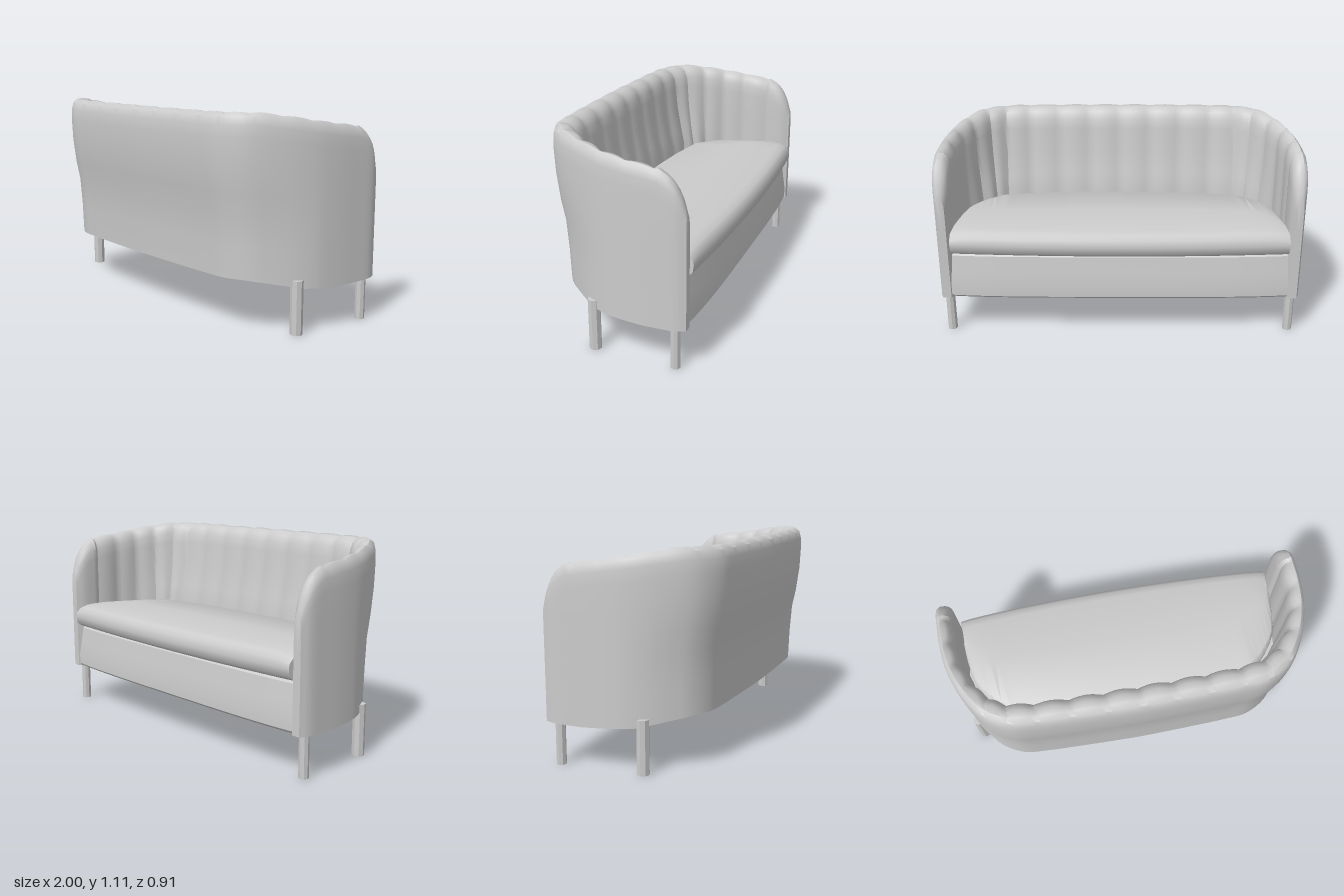
import * as THREE from 'three';
import { toCreasedNormals } from 'three/addons/utils/BufferGeometryUtils.js';

const material = new THREE.MeshStandardMaterial({ color: 0xcccccc });

// Piecewise linear lookup in [input, output] pairs with rising input
function lookup(table, v) {
  if (v <= table[0][0]) return table[0][1];
  for (let i = 1; i < table.length; i++) {
    const [a, fa] = table[i - 1], [b, fb] = table[i];
    if (v <= b) return fa + (fb - fa) * (v - a) / (b - a);
  }
  return table[table.length - 1][1];
}

// Skin a row of equal-sized closed rings and cap both ends
function loft(name, rings, crease) {
  const n = rings[0].length, pos = rings.flat(2), index = [];
  for (let i = 0; i < rings.length - 1; i++) {
    for (let j = 0; j < n; j++) {
      const k = (j + 1) % n, a = i * n, b = a + n;
      index.push(a + j, b + j, a + k, b + j, b + k, a + k);
    }
  }
  [0, rings.length - 1].forEach((r, end) => {
    const c = pos.length / 3;
    for (let d = 0; d < 3; d++) pos.push(rings[r].reduce((s, p) => s + p[d], 0) / n);
    for (let j = 0; j < n; j++) {
      const p = r * n + j, q = r * n + (j + 1) % n;
      index.push(c, end ? q : p, end ? p : q);
    }
  });
  const g = new THREE.BufferGeometry();
  g.setAttribute('position', new THREE.Float32BufferAttribute(pos, 3));
  g.setIndex(index);
  const mesh = new THREE.Mesh(toCreasedNormals(g, crease), material);
  mesh.name = name;
  return mesh;
}

// Underside and rim heights along z, and how far the lower back is drawn in
const underside = [[-0.42, 0.225], [-0.2, 0.222], [0.1, 0.235], [0.385, 0.28]];
const rim = [[-0.41, 0.82], [-0.385, 0.9], [-0.355, 0.96], [-0.32, 1.0], [-0.27, 1.03],
  [0, 1.068], [0.15, 1.092], [0.32, 1.115], [0.46, 1.112]];
const tuckIn = [[0.28, 0.07], [0.58, 0.058], [0.7, 0.03], [0.85, 0.008], [1, 0]];

// Wrapped back and arms: plan [x, z] at each channel seam, middle to arm tip
const outerPlan = [[0, 0.455], [0.18, 0.452], [0.36, 0.447], [0.54, 0.44], [0.68, 0.425], [0.81, 0.35],
  [0.91, 0.2], [0.97, 0.04], [0.993, -0.1], [1, -0.25], [0.998, -0.36], [0.98, -0.41]];
const innerPlan = [[0, 0.31], [0.18, 0.31], [0.36, 0.307], [0.54, 0.3], [0.68, 0.28], [0.76, 0.23],
  [0.83, 0.14], [0.88, 0.03], [0.905, -0.1], [0.91, -0.25], [0.915, -0.36], [0.935, -0.41]];

function mirroredCurve(half) {
  const pts = [...half.slice(1).reverse().map(([x, z]) => [-x, z]), ...half];
  return new THREE.CatmullRomCurve3(pts.map(([x, z]) => new THREE.Vector3(x, 0, z)));
}

// Shell section: t runs outer 0 to inner 1, h is a share of the height
const shellProfile = [[0, 0], [0, 0.2], [0, 0.4], [0, 0.53], [0, 0.7], [0, 0.85], [0.02, 0.925],
  [0.1, 0.975], [0.3, 1], [0.6, 0.995], [0.83, 0.97], [0.97, 0.92], [1.02, 0.85],
  [1.1, 0.7], [1.28, 0.52], [1.42, 0.4], [1.42, 0]];

function makeShell() {
  const outer = mirroredCurve(outerPlan), inner = mirroredCurve(innerPlan);
  const channels = outerPlan.length * 2 - 2, sub = 6, rings = [];
  for (let i = 0; i <= channels * sub; i++) {
    const o = outer.getPoint(i / (channels * sub)), n = inner.getPoint(i / (channels * sub));
    // Groove deepest at each seam, none on the plain arm tips
    const seam = Math.min(i, channels * sub - i) < 2 * sub ? 0 : 1 - Math.sin(Math.PI * (i % sub) / sub);
    const width = Math.hypot(o.x - n.x, o.z - n.z);
    const back = THREE.MathUtils.clamp(o.z / 0.3, 0, 1);
    const low = lookup(underside, Math.min(o.z, 0.385)), high = lookup(rim, o.z);
    rings.push(shellProfile.map(([t, h]) => {
      const y = low + h * (high - low);
      let s = t > 1 ? 1 + (t - 1) * back : t;
      if (t > 0.5) s -= 0.014 * seam / width;
      const tuck = t < 0.5 ? lookup(tuckIn, y) * back : 0;
      const dip = t > 0.2 && h > 0.9 ? 0.006 * seam : 0;
      return [o.x + (n.x - o.x) * s, y - dip, o.z + (n.z - o.z) * s - tuck];
    }));
  }
  return loft('backAndArms', rings, 0.75);
}

// Seat base: sections across x, rear edge buried in the shell
function makeBase() {
  const rear = [[0, 0.34], [0.6, 0.33], [0.72, 0.28], [0.86, 0.13], [0.92, -0.02], [0.95, -0.3]];
  const rings = [];
  for (let i = -16; i <= 16; i++) {
    const x = 0.95 * Math.sin(Math.PI * i / 32);
    const zb = lookup(rear, Math.abs(x)), zf = -0.425 + 0.025 * (x / 0.95) ** 4;
    const ring = [[zb, 0.5], [zf + 0.06, 0.5], [zf + 0.025, 0.47], [zf + 0.012, 0.38], [zf, 0.3], [zf, 0.24]]
      .map(([z, y]) => [x, y, z]);
    for (let k = 0; k <= 6; k++) {
      const z = zf + 0.012 + (zb - zf - 0.012) * k / 6;
      ring.push([x, lookup(underside, z) + 0.003, z]);
    }
    rings.push(ring);
  }
  return loft('seatBase', rings, 0.7);
}

// Seat cushion: rounded front, bowed front and rear edges
function makeCushion() {
  const rear = [[0, 0.25], [0.2, 0.247], [0.45, 0.228], [0.7, 0.19], [0.8, 0.11], [0.87, 0.02],
    [0.905, -0.12], [0.92, -0.3]];
  const rings = [];
  for (let i = -20; i <= 20; i++) {
    const x = 0.92 * Math.sin(Math.PI * i / 40), u = Math.abs(x) / 0.92;
    const zb = lookup(rear, Math.abs(x)), zf = -0.46 + 0.035 * u * u;
    const edge = 0.015 * u ** 16;
    rings.push([[zb - 0.02, 0.49], [zb, 0.52], [zb, 0.59], [zb - 0.03, 0.618 - edge],
      [(zb + zf) / 2, 0.632 - edge], [zf + 0.07, 0.626 - edge], [zf + 0.03, 0.613 - edge],
      [zf + 0.006, 0.59 - edge], [zf, 0.55], [zf + 0.006, 0.51], [zf + 0.03, 0.49]]
      .map(([z, y]) => [x, y, z]));
  }
  return loft('seatCushion', rings, 0.8);
}

export function createModel() {
  const sofa = new THREE.Group();
  sofa.name = 'sofa';
  sofa.add(makeShell(), makeBase(), makeCushion());

  // Four short legs
  for (const side of [1, -1]) {
    for (const [name, x, z, r] of [['frontLeg', 0.955, -0.345, 0.026], ['rearLeg', 0.93, 0.105, 0.033]]) {
      const leg = new THREE.Mesh(toCreasedNormals(new THREE.CylinderGeometry(r, r, 0.28, 8), 0.6), material);
      leg.name = (side > 0 ? 'left ' : 'right ') + name;
      leg.position.set(side * x, 0.14, z);
      sofa.add(leg);
    }
  }
  return sofa;
}
